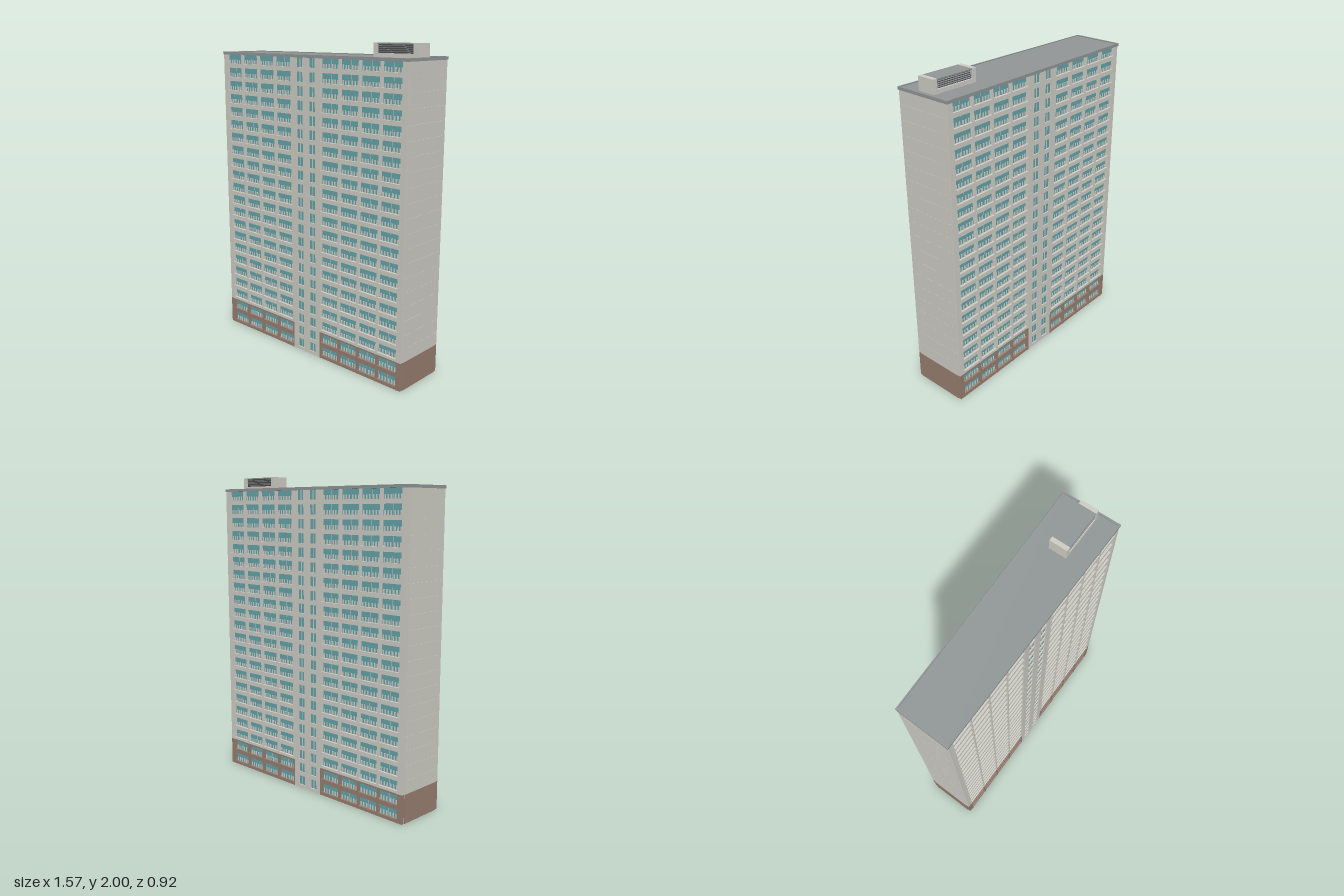
import * as THREE from 'three';
import { mergeGeometries } from 'three/addons/utils/BufferGeometryUtils.js';

const FLOORS = 22, FLOOR = 0.0871, TOP = 1.91, BASE = 0.178, RECESS = 0.02;

// footprint corners as [x, z]: front left, front right, back right, back left
const A = [-0.78, -0.159], D = [0.636, 0.447], C = [0.775, 0.106], B = [-0.645, -0.458];

const mat = (name, color) => {
  const m = new THREE.MeshStandardMaterial({ color });
  m.name = name;
  return m;
};

// point at distance d from p towards q
function toward(p, q, d) {
  const l = Math.hypot(q[0] - p[0], q[1] - p[1]);
  return [p[0] + (q[0] - p[0]) * d / l, p[1] + (q[1] - p[1]) * d / l];
}

// vertical prism over a footprint, with an optional hole
function prism(points, y0, y1, hole) {
  const toV = ([x, z]) => new THREE.Vector2(x, -z);
  const shape = new THREE.Shape(points.map(toV));
  if (hole) shape.holes.push(new THREE.Path(hole.map(toV)));
  const g = new THREE.ExtrudeGeometry(shape, { depth: y1 - y0, bevelEnabled: false });
  return g.rotateX(-Math.PI / 2).translate(0, y0, 0);
}

// collects boxes by part name and merges each part into one mesh
class Parts {
  constructor() { this.lists = new Map(); }
  box(name, material, x0, x1, y0, y1, z0, z1) {
    const g = new THREE.BoxGeometry(x1 - x0, y1 - y0, z1 - z0);
    g.translate((x0 + x1) / 2, (y0 + y1) / 2, (z0 + z1) / 2);
    if (!this.lists.has(name)) this.lists.set(name, { material, geos: [] });
    this.lists.get(name).geos.push(g);
  }
  build(name) {
    const group = new THREE.Group();
    group.name = name;
    for (const [part, { material, geos }] of this.lists) {
      const mesh = new THREE.Mesh(mergeGeometries(geos), material);
      mesh.name = part;
      group.add(mesh);
    }
    return group;
  }
}

// stand a group built in local x (along), z (outward) on the wall from p to q
function place(group, p, q) {
  group.position.set(p[0], 0, p[1]);
  group.rotation.y = -Math.atan2(q[1] - p[1], q[0] - p[0]);
  return group;
}

export function createModel() {
  const wall = mat('pale concrete', 0xcfcec6);
  const glass = mat('teal glass', 0x66a5aa);
  const brick = mat('brown base', 0x987e70);
  const roofGrey = mat('roof grey', 0x929797);
  const dark = mat('louvre dark', 0x4c4d4d);

  const model = new THREE.Group();
  model.name = 'apartmentTower';
  const add = (name, geo, material) => {
    const m = new THREE.Mesh(geo, material);
    m.name = name;
    model.add(m);
  };

  // pale above the base line, brown below it
  function clad(parts, name, x0, x1, y0, y1, z0, z1) {
    if (y0 < BASE) parts.box(name + 'Base', brick, x0, x1, y0, Math.min(y1, BASE), z0, z1);
    if (y1 > BASE) parts.box(name, wall, x0, x1, Math.max(y0, BASE), y1, z0, z1);
  }

  function facade(name, p, q) {
    const parts = new Parts();
    const L = Math.hypot(q[0] - p[0], q[1] - p[1]);
    const s0 = L * 0.42, s1 = L * 0.578, pier = 0.03;

    // corner piers
    clad(parts, 'cornerPier', 0, pier, 0, TOP, -RECESS - 0.002, 0);
    clad(parts, 'cornerPier', L - pier, L, 0, TOP, -RECESS - 0.002, 0);

    // balcony bays on both sides of the stair strip
    for (const [x0, x1] of [[pier, s0], [s1, L - pier]]) {
      const w = (x1 - x0) / 4;
      for (let i = 0; i <= 4; i++) {
        const x = x0 + i * w;
        clad(parts, 'fin', x - 0.004, x + 0.004, 0, TOP, -RECESS, 0.003);
      }
      for (let f = 0; f <= FLOORS; f++) {
        const y = f * FLOOR;
        clad(parts, 'spandrel', x0, x1, Math.max(0, y - 0.007), Math.min(TOP, y + 0.02), -RECESS, 0);
        if (f === FLOORS) break;
        for (let i = 0; i < 4; i++) {
          const b = x0 + i * w;
          for (let k = 0; k < 2; k++) {
            const g0 = b + 0.008 + k * (w - 0.012) / 2, g1 = g0 + w / 2 - 0.012;
            parts.box('glazing', glass, g0, g1, y + 0.018, y + 0.082, -RECESS - 0.002, -RECESS + 0.004);
            // low panels in front of the glass
            for (let j = 0; j < 3; j++) {
              const c = g0 + (g1 - g0) * (j + 0.5) / 3;
              parts.box('lowPanel', wall, c - 0.0042, c + 0.0042, y + 0.018, y + 0.046, -RECESS, -RECESS + 0.008);
            }
          }
        }
      }
    }

    // stair strip with two columns of paired windows
    const columns = [[0.449, 0.483], [0.517, 0.551]].map(c => c.map(t => t * L));
    const edges = [s0, ...columns.flat(), s1];
    for (let i = 0; i < 6; i += 2)
      parts.box('stairWall', wall, edges[i], edges[i + 1], 0, TOP, -RECESS, 0);
    for (const [x0, x1] of columns) {
      const mid = (x0 + x1) / 2;
      for (let f = 0; f <= FLOORS; f++) {
        const y = f * FLOOR;
        parts.box('stairSpandrel', wall, x0, x1, Math.max(0, y - 0.007), Math.min(TOP, y + 0.02), -RECESS, 0);
        if (f === FLOORS) break;
        parts.box('stairGlass', glass, x0, x1, y + 0.018, y + 0.082, -0.014, -0.008);
        parts.box('stairMullion', wall, mid - 0.002, mid + 0.002, y + 0.018, y + 0.082, -0.012, -0.005);
      }
    }
    model.add(place(parts.build(name), p, q));
  }

  // end walls clad in two columns of storey-high panels
  function endWall(name, p, q) {
    const parts = new Parts();
    const L = Math.hypot(q[0] - p[0], q[1] - p[1]);
    const x0 = RECESS, x1 = L - RECESS, mid = L / 2;
    parts.box('endBase', brick, x0, x1, 0, BASE, -0.002, 0.004);
    for (let f = 2; f < FLOORS; f++) {
      const y0 = f === 2 ? BASE : f * FLOOR, y1 = Math.min(TOP, (f + 1) * FLOOR);
      parts.box('endPanel', wall, x0, mid - 0.0004, y0, y1 - 0.0008, -0.002, 0.003);
      parts.box('endPanel', wall, mid + 0.0004, x1, y0, y1 - 0.0008, -0.002, 0.003);
    }
    model.add(place(parts.build(name), p, q));
  }

  // solid core behind the recessed long sides
  add('core', prism([toward(A, B, RECESS), toward(D, C, RECESS), toward(C, D, RECESS), toward(B, A, RECESS)], 0, TOP), wall);
  facade('frontFacade', A, D);
  facade('backFacade', C, B);
  endWall('rightEnd', D, C);
  endWall('leftEnd', B, A);

  // flat roof with a thin rim
  const outer = [[-0.786, -0.159], [0.637, 0.453], [0.781, 0.105], [-0.646, -0.464]];
  const inner = outer.map(([x, z]) => [x * 0.988, z * 0.975]);
  add('roofSlab', prism(outer, 1.907, 1.919), roofGrey);
  add('roofRim', prism(outer, 1.919, 1.925, inner), roofGrey);

  // rooftop plant room: pale ends, louvred long sides
  const plant = new Parts();
  const hx = 0.154, hz = 0.057;
  for (const s of [-1, 1]) {
    const c = s * (hx - 0.014);
    plant.box('plantEnd', wall, c - 0.014, c + 0.014, 0, 0.082, -hz, hz);
  }
  plant.box('plantSill', wall, -hx + 0.028, hx - 0.028, 0, 0.025, -hz, hz);
  plant.box('plantRoof', roofGrey, -hx + 0.028, hx - 0.028, 0.074, 0.081, -hz, hz);
  plant.box('louvreBack', dark, -hx + 0.028, hx - 0.028, 0.025, 0.074, -hz + 0.012, hz - 0.012);
  for (let i = 0; i < 4; i++)
    for (const s of [-1, 1]) {
      const y = 0.033 + i * 0.0105, z = s * (hz - 0.008);
      plant.box('louvreSlat', roofGrey, -hx + 0.028, hx - 0.028, y, y + 0.0025, z - 0.005, z + 0.005);
    }
  const plantRoom = plant.build('plantRoom');
  plantRoom.position.set(0.533, 1.918, 0.208);
  plantRoom.rotation.y = -0.4;
  model.add(plantRoom);

  return model;
}
